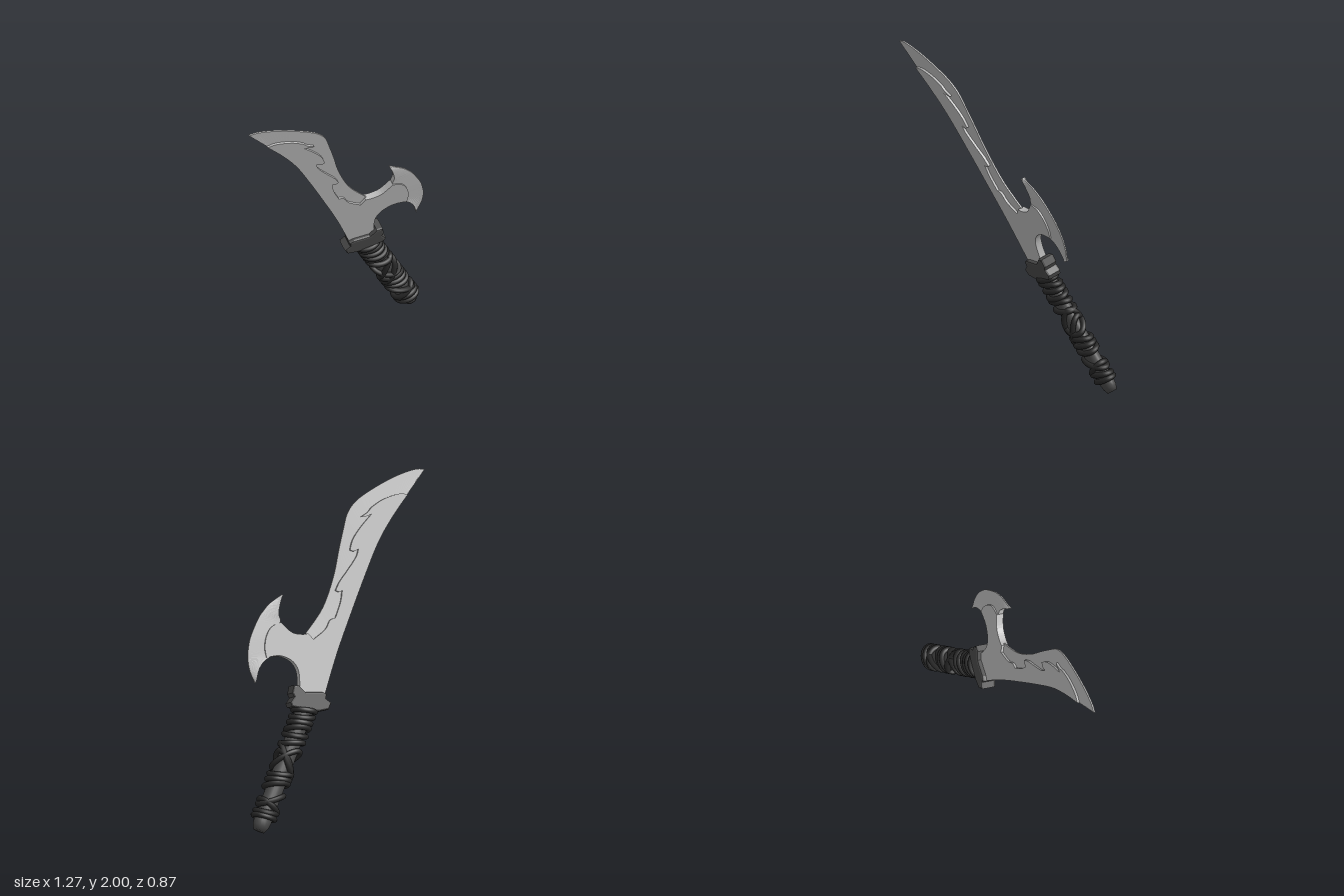
import * as THREE from 'three';

const material = (name, color) => {
  const m = new THREE.MeshStandardMaterial({ color });
  m.name = name;
  return m;
};

// The whole blade lies in one leaning plane, given by its height in z over x and y
const planeZ = (x, y) => -0.317 - 0.158 * x + 0.323 * y;
const onPlane = (x, y) => new THREE.Vector3(x, y, planeZ(x, y));
const normal = new THREE.Vector3(0.158, -0.323, 1).normalize();
const lean = new THREE.Matrix4()
  .makeBasis(new THREE.Vector3(1, 0, -0.158), new THREE.Vector3(0, 1, 0.323), normal)
  .setPosition(0, 0, -0.317);

const vectors = (pts) => pts.map(([x, y]) => new THREE.Vector2(x, y));

// Outline from runs of points: each run is smooth, with a sharp corner between runs
function outline(runs) {
  const shape = new THREE.Shape();
  let last = null;
  for (const run of runs) {
    const pts = vectors(last ? [last, ...run] : run);
    const smooth = pts.length > 2 ? new THREE.SplineCurve(pts).getPoints((pts.length - 1) * 5) : pts;
    smooth.forEach((p, i) => {
      if (!last && i === 0) shape.moveTo(p.x, p.y);
      else if (i > 0) shape.lineTo(p.x, p.y);
    });
    last = run[run.length - 1];
  }
  return shape;
}

// Wedge-shaped strip between an inner and an outer curve, thin along the outer one
function bevelStrip(inner, outer, thickInner, thickOuter, steps = 60) {
  const a = new THREE.SplineCurve(vectors(inner));
  const b = new THREE.SplineCurve(vectors(outer));
  const pos = [];
  const section = (t) => {
    const p = a.getPoint(t), q = b.getPoint(t);
    return [[p.x, p.y, thickInner], [q.x, q.y, thickOuter], [q.x, q.y, -thickOuter], [p.x, p.y, -thickInner]];
  };
  const quad = (p, q, r, s) => pos.push(...p, ...q, ...r, ...p, ...r, ...s);
  for (let i = 0; i < steps; i++) {
    const s = section(i / steps), e = section((i + 1) / steps);
    for (let j = 0; j < 4; j++) quad(s[j], e[j], e[(j + 1) % 4], s[(j + 1) % 4]);
  }
  quad(...section(0));
  quad(...section(1).reverse());
  const g = new THREE.BufferGeometry();
  g.setAttribute('position', new THREE.Float32BufferAttribute(pos, 3));
  g.computeVertexNormals();
  return g;
}

export function createModel() {
  const steel = material('steel', 0xb8b8b8);
  const gripGray = material('dark gray', 0x484848);
  const cordBlack = material('cord black', 0x272727);
  const model = new THREE.Group();
  model.name = 'curvedBlade';

  const add = (parent, name, geometry, mat) => {
    const mesh = new THREE.Mesh(geometry, mat);
    mesh.name = name;
    parent.add(mesh);
    return mesh;
  };

  // Thick central plate with toothed border, neck and side arm
  const plate = outline([
    [[0.105, 0.76], [0.008, 0.99], [-0.1, 1.21], [-0.205, 1.415], [-0.31, 1.605], [-0.415, 1.745], [-0.52, 1.86]],
    [[-0.46, 1.868], [-0.36, 1.845], [-0.28, 1.805]],
    [[-0.255, 1.78], [-0.21, 1.757]],
    [[-0.24, 1.756], [-0.28, 1.768]],
    [[-0.205, 1.7], [-0.15, 1.635], [-0.125, 1.575]],
    [[-0.15, 1.565], [-0.18, 1.577]],
    [[-0.16, 1.53], [-0.1, 1.46], [-0.045, 1.4], [-0.015, 1.352]],
    [[-0.035, 1.342], [-0.057, 1.348]],
    [[-0.04, 1.28], [0, 1.195]],
    [[0.035, 1.185], [0.07, 1.135], [0.15, 1.085]],
    [[0.18, 1.122]],
    [[0.22, 1.12], [0.285, 1.138], [0.35, 1.2]],
    [[0.41, 1.18], [0.447, 1.13], [0.463, 1.065], [0.457, 1.005]],
    [[0.43, 1.01], [0.37, 1.01], [0.31, 0.985], [0.272, 0.945], [0.257, 0.89], [0.262, 0.79]],
    [[0.105, 0.76]],
  ]);
  const plateGeo = new THREE.ExtrudeGeometry(plate, { depth: 0.044, bevelEnabled: false });
  plateGeo.translate(0, 0, -0.022);
  add(model, 'bladePlate', plateGeo.applyMatrix4(lean), steel);

  // Thin spine that runs out into the point
  const spine = bevelStrip(
    [[-0.52, 1.86], [-0.46, 1.8], [-0.4, 1.76], [-0.34, 1.72], [-0.29, 1.67], [-0.25, 1.6],
      [-0.21, 1.5], [-0.13, 1.35], [-0.07, 1.22], [0, 1.13], [0.12, 1.05]],
    [[-0.645, 1.995], [-0.585, 2.0], [-0.47, 1.975], [-0.335, 1.925], [-0.205, 1.86], [-0.135, 1.79],
      [-0.1, 1.7], [-0.06, 1.58], [-0.013, 1.43], [0.07, 1.26], [0.19, 1.125]],
    0.011, 0.005);
  add(model, 'bladeSpine', spine.applyMatrix4(lean), steel);

  // Crescent blade at the end of the side arm
  const crescent = bevelStrip(
    [[0.32, 1.358], [0.342, 1.31], [0.357, 1.25], [0.35, 1.2], [0.39, 1.12], [0.41, 1.05],
      [0.43, 1.012], [0.475, 0.985], [0.51, 0.94], [0.533, 0.87]],
    [[0.322, 1.36], [0.405, 1.315], [0.45, 1.275], [0.485, 1.235], [0.54, 1.14], [0.56, 1.08],
      [0.57, 1.025], [0.568, 0.97], [0.56, 0.93], [0.537, 0.87]],
    0.016, 0.004);
  add(model, 'crescentBlade', crescent.applyMatrix4(lean), steel);

  // Waisted guard between blade and grip
  const guard = new THREE.Shape(vectors([
    [0.11, 0.762], [0.13, 0.77], [0.235, 0.778], [0.275, 0.82], [0.3, 0.823], [0.31, 0.79], [0.298, 0.765],
    [0.325, 0.735], [0.32, 0.72], [0.245, 0.7], [0.16, 0.68], [0.1, 0.685], [0.085, 0.71], [0.115, 0.735],
  ]).reverse());
  const guardGeo = new THREE.ExtrudeGeometry(guard, {
    depth: 0.068, bevelThickness: 0.014, bevelSize: 0.01, bevelSegments: 2,
  });
  guardGeo.translate(0, 0, -0.034);
  add(model, 'guard', guardGeo.applyMatrix4(lean), gripGray);

  // Handle frame: y along the grip, z across the blade plane
  const bottom = onPlane(0.58, 0.025), top = onPlane(0.205, 0.74);
  const axis = top.clone().sub(bottom);
  const length = axis.length();
  axis.normalize();
  const side = new THREE.Vector3().crossVectors(axis, normal).normalize();
  const handle = new THREE.Group();
  handle.name = 'handle';
  handle.position.copy(bottom);
  handle.quaternion.setFromRotationMatrix(new THREE.Matrix4().makeBasis(side, axis, normal));
  model.add(handle);

  // Oval grip with a tapered butt
  const profile = [[0, 0], [0.036, 0], [0.05, 0.03], [0.055, 0.06], [0.054, length]];
  const grip = new THREE.LatheGeometry(vectors(profile), 20);
  grip.scale(1, 1, 0.8);
  add(handle, 'grip', grip, gripGray);

  // Cord turns: position along the grip, slant across x, slant across z
  const turns = [
    [0.79, -0.02, 0], [0.75, -0.025, 0.01], [0.71, -0.02, 0], [0.67, -0.025, -0.01], [0.63, -0.02, 0.01],
    [0.575, -0.03, 0], [0.475, 0.075, 0.03], [0.43, 0.065, -0.03], [0.47, -0.06, -0.04],
    [0.375, -0.025, 0.01], [0.335, -0.02, 0], [0.3, -0.03, -0.01],
    [0.205, -0.055, 0.01], [0.165, 0.02, 0], [0.125, -0.015, 0.01], [0.09, -0.01, 0],
  ];
  for (const [s, slantX, slantZ] of turns) {
    const pts = [];
    for (let i = 0; i < 16; i++) {
      const c = Math.cos(i * Math.PI / 8), d = Math.sin(i * Math.PI / 8);
      pts.push(new THREE.Vector3(0.066 * c, s + slantX * c + slantZ * d, 0.051 * d));
    }
    const path = new THREE.CatmullRomCurve3(pts, true);
    add(handle, 'cordTurn', new THREE.TubeGeometry(path, 40, 0.0175, 8, true), cordBlack);
  }
  return model;
}
